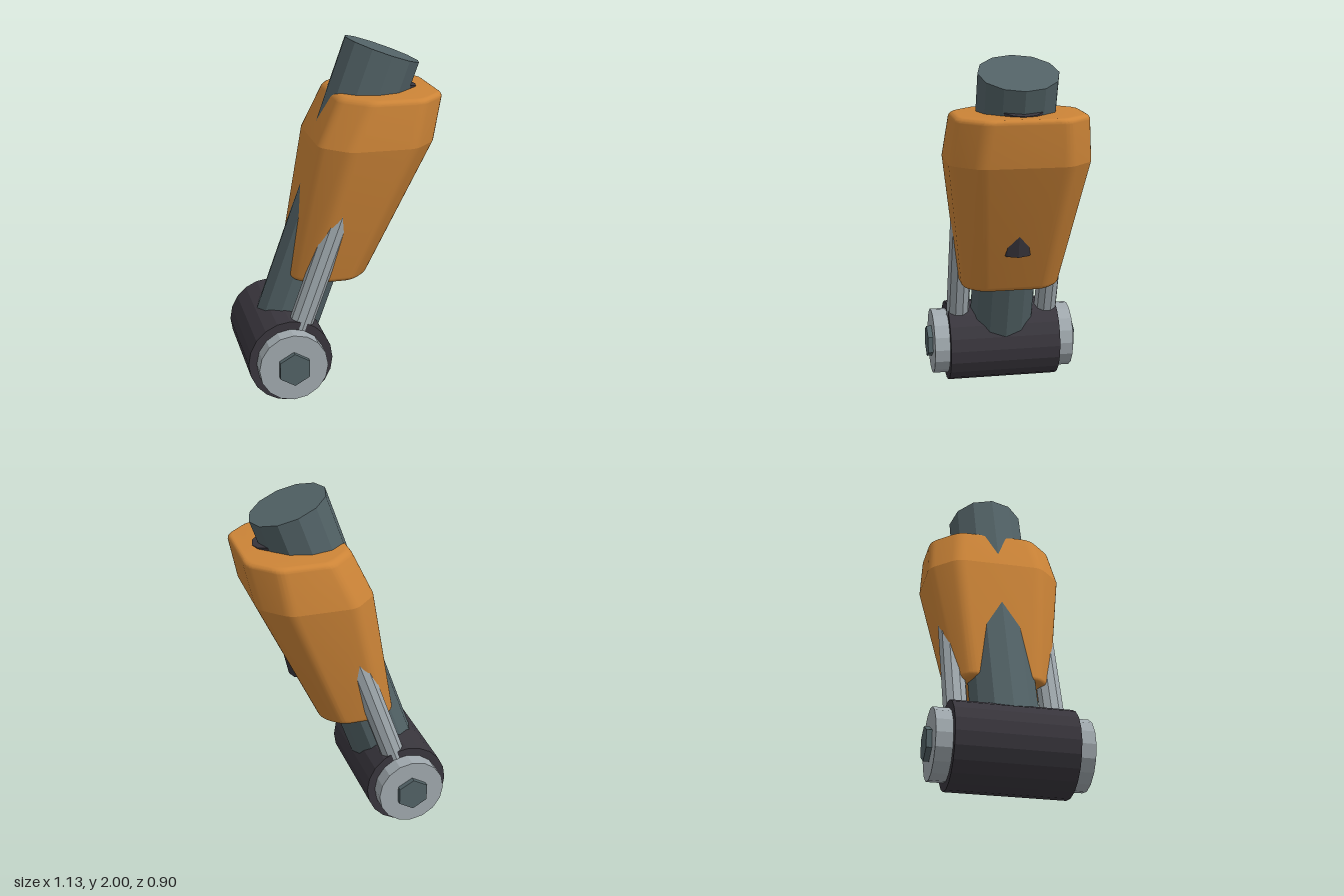
import * as THREE from 'three';
import { toCreasedNormals } from 'three/addons/utils/BufferGeometryUtils.js';

const mat = (name, color) => Object.assign(new THREE.MeshStandardMaterial({ color }), { name });

const PIVOT = new THREE.Vector3(-0.33, 0.24, 0);
const AXIS = new THREE.Vector3(0.336, 0.942, 0).normalize();
const along = (t, z = 0) => PIVOT.clone().addScaledVector(AXIS, t).setZ(z);

// Faceted rod between two points
function rod(name, a, b, radius, sides, material) {
  const dir = b.clone().sub(a);
  const geo = toCreasedNormals(new THREE.CylinderGeometry(radius, radius, dir.length(), sides), 0.1);
  const mesh = new THREE.Mesh(geo, material);
  mesh.name = name;
  mesh.position.copy(a).add(b).multiplyScalar(0.5);
  mesh.rotation.z = -Math.atan2(dir.x, dir.y);
  return mesh;
}

// Faceted cylinder lying along z through the pivot
function axle(name, radius, halfLength, sides, material) {
  const geo = new THREE.CylinderGeometry(radius, radius, halfLength * 2, sides).rotateX(Math.PI / 2);
  const mesh = new THREE.Mesh(toCreasedNormals(geo, 0.1), material);
  mesh.name = name;
  mesh.position.copy(PIVOT);
  return mesh;
}

// Housing stations: height, x range, half depth, corner chamfer
const STATIONS = [
  { y: 0.667, x0: -0.295, x1: 0.135, z: 0.278, c: 0.095 },
  { y: 1.45, x0: -0.145, x1: 0.51, z: 0.39, c: 0.145 },
  { y: 1.715, x0: -0.02, x1: 0.568, z: 0.365, c: 0.15 },
];

// Octagonal ring with softened corners at a given height, shrunk by inset
function ring(y, inset) {
  const k = y < STATIONS[1].y ? 0 : 1;
  const [a, b] = [STATIONS[k], STATIONS[k + 1]];
  const f = (y - a.y) / (b.y - a.y);
  const mix = (key) => a[key] + (b[key] - a[key]) * f;
  const x0 = mix('x0') + inset, x1 = mix('x1') - inset;
  const z = mix('z') - inset, c = mix('c') - inset * 0.586;
  const corners = [
    [x1, z - c], [x1 - c, z], [x0 + c, z], [x0, z - c],
    [x0, c - z], [x0 + c, -z], [x1 - c, -z], [x1, c - z],
  ].map(([px, pz]) => new THREE.Vector2(px, pz));
  const points = [];
  corners.forEach((p, i) => {
    const toward = (q) => p.clone().add(q.clone().sub(p).setLength(0.045));
    const curve = new THREE.QuadraticBezierCurve(
      toward(corners[(i + 7) % 8]), p, toward(corners[(i + 1) % 8]));
    points.push(...curve.getPoints(4));
  });
  return points.map((p) => [p.x, y, -p.y]);
}

// Loft the rings, with rounded top and bottom rims
function housingGeometry() {
  const R = 0.03, STEPS = 8, rows = [];
  const [low, mid, high] = STATIONS.map((s) => s.y);
  for (let i = 0; i <= STEPS; i++) {
    const t = (i / STEPS) * Math.PI / 2;
    rows.push(ring(low + R * (1 - Math.cos(t)), R * (1 - Math.sin(t))));
  }
  rows.push(ring(mid, 0));
  for (let i = STEPS; i >= 0; i--) {
    const t = (i / STEPS) * Math.PI / 2;
    rows.push(ring(high - R * (1 - Math.cos(t)), R * (1 - Math.sin(t))));
  }
  const n = rows[0].length, index = [];
  const positions = rows.flat(2);
  for (let j = 0; j < rows.length - 1; j++) {
    for (let i = 0; i < n; i++) {
      const a = j * n + i, b = j * n + (i + 1) % n;
      index.push(a, b, b + n, a, b + n, a + n);
    }
  }
  // End faces
  const last = (rows.length - 1) * n;
  for (let i = 1; i < n - 1; i++) {
    index.push(0, i + 1, i);
    index.push(last, last + i, last + i + 1);
  }
  const geo = new THREE.BufferGeometry();
  geo.setAttribute('position', new THREE.Float32BufferAttribute(positions, 3));
  geo.setIndex(index);
  return toCreasedNormals(geo, 0.23);
}

export function createModel() {
  const orange = mat('orange paint', 0xcc8437);
  const slate = mat('slate metal', 0x526266);
  const light = mat('light metal', 0xa0a9ae);
  const dark = mat('dark metal', 0x39363d);

  const model = new THREE.Group();
  model.name = 'hingedLimb';

  // Pivot joint
  model.add(axle('pivotBarrel', 0.24, 0.33, 20, dark));
  model.add(axle('pivotCaps', 0.195, 0.42, 16, light));
  model.add(axle('hexBolt', 0.096, 0.45, 6, slate));

  // Main shaft
  model.add(rod('lowerShaft', along(0), along(1.3), 0.19, 12, slate));
  model.add(rod('upperShaft', along(1.2), along(1.789), 0.223, 12, slate));

  // Side struts
  for (const s of [1, -1]) {
    model.add(rod(s > 0 ? 'frontStrut' : 'backStrut',
      along(0.12, s * 0.268), along(1.15, s * 0.268), 0.068, 10, light));
  }

  // Inner piston, showing at the underside and the top
  model.add(rod('innerPiston', new THREE.Vector3(0.163, 0.932, 0),
    new THREE.Vector3(0.353, 1.745, 0), 0.12, 12, dark));

  // Outer housing
  const housing = new THREE.Mesh(housingGeometry(), orange);
  housing.name = 'housing';
  model.add(housing);

  return model;
}
